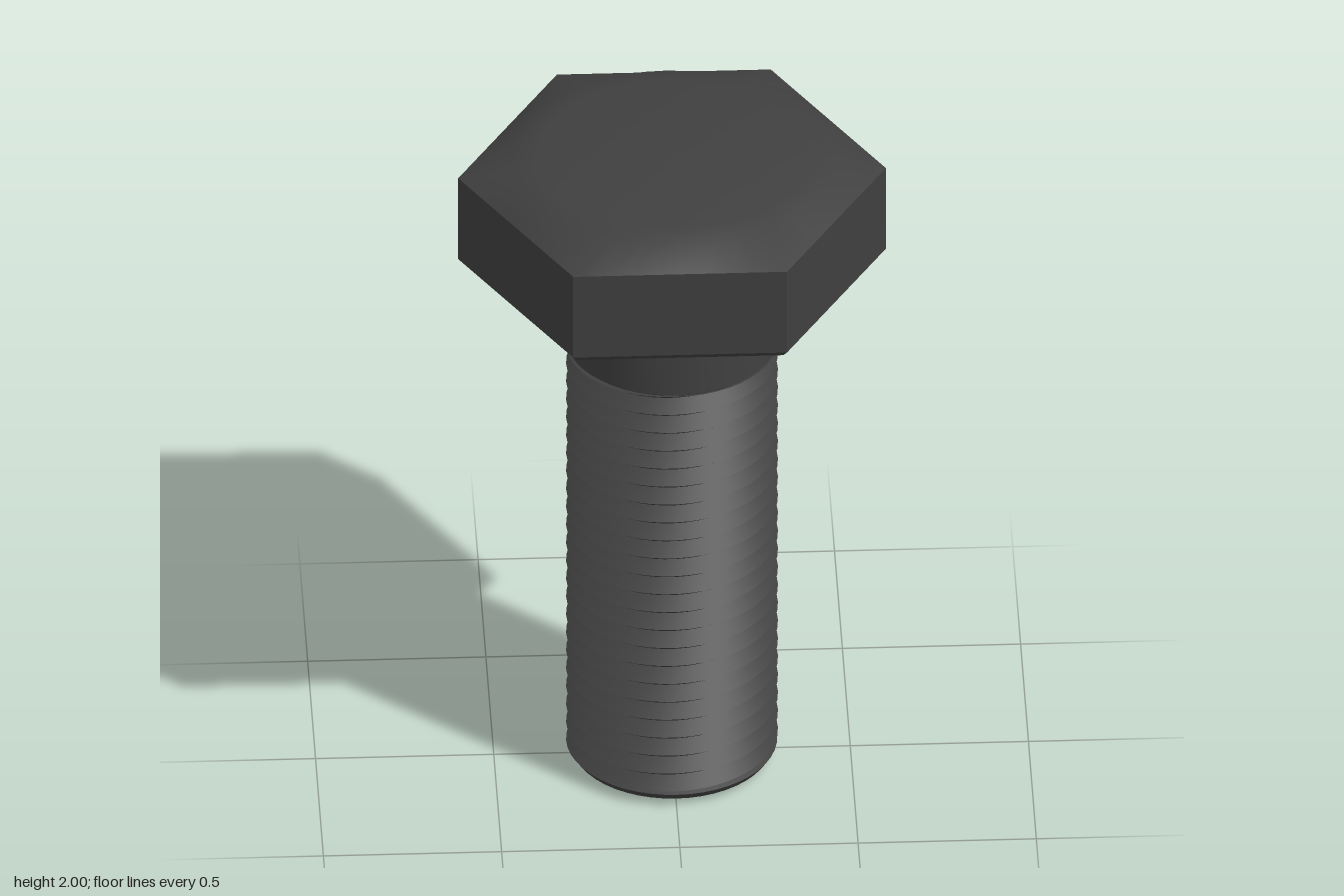
import * as THREE from 'three';
import { toCreasedNormals } from 'three/addons/utils/BufferGeometryUtils.js';

const SIDES = 48;
const steel = new THREE.MeshStandardMaterial({ color: 0x404040, side: THREE.DoubleSide });

// Grid surface: point(row, col) gives [x, y, z]; rows run upward, columns from +x towards +z
function surface(rows, cols, point) {
  const positions = [], index = [];
  for (let r = 0; r <= rows; r++)
    for (let c = 0; c <= cols; c++) positions.push(...point(r, c));
  for (let r = 0; r < rows; r++)
    for (let c = 0; c < cols; c++) {
      const a = r * (cols + 1) + c, b = a + cols + 1;
      index.push(a, b, a + 1, b, b + 1, a + 1);
    }
  const geometry = new THREE.BufferGeometry();
  geometry.setAttribute('position', new THREE.Float32BufferAttribute(positions, 3));
  geometry.setIndex(index);
  geometry.computeVertexNormals();
  return geometry;
}

function addPart(group, name, geometry) {
  const mesh = new THREE.Mesh(geometry, steel);
  mesh.name = name;
  group.add(mesh);
}

function lathe(profile) {
  const points = profile.map(([r, y]) => new THREE.Vector2(r, y));
  return toCreasedNormals(new THREE.LatheGeometry(points, SIDES), 0.5);
}

// Hexagonal head: hexagon rings below, blending to round rings on the domed top
function headGeometry() {
  // [corner radius, y, is hexagon]
  const rings = [
    [0.28, 1.64, false], [0.58, 1.64, true], [0.6, 1.66, true], [0.6, 1.93, true],
    [0.45, 1.98, false], [0.38, 1.995, false], [0, 2, false],
  ];
  const geometry = surface(rings.length - 1, SIDES, (row, col) => {
    const [radius, y, hex] = rings[row];
    const angle = (col / SIDES) * Math.PI * 2;
    const fromFlat = (angle % (Math.PI / 3)) - Math.PI / 6;
    const r = hex ? radius * Math.cos(Math.PI / 6) / Math.cos(fromFlat) : radius;
    return [r * Math.cos(angle), y, r * Math.sin(angle)];
  });
  return toCreasedNormals(geometry, 0.6);
}

// One flank of the right-handed helical thread, clamped flat at both ends
function flankGeometry(fromRadius, toRadius, offset) {
  const pitch = 0.06, bottom = 0.04, top = 1.375;
  const steps = Math.ceil((top - bottom) / pitch + 2) * SIDES;
  return surface(1, steps, (row, col) => {
    // Walking backwards in angle makes the helix climb to the right
    const angle = -(steps - col) / SIDES * Math.PI * 2;
    const climb = (steps - col) / SIDES * pitch;
    const y = bottom - pitch + climb + offset + row * pitch / 2;
    const r = row ? toRadius : fromRadius;
    return [r * Math.cos(angle), THREE.MathUtils.clamp(y, bottom, top), r * Math.sin(angle)];
  });
}

export function createModel() {
  const bolt = new THREE.Group();
  bolt.name = 'hexBolt';

  addPart(bolt, 'head', headGeometry());

  // Plain shank with a flared collar under the head
  addPart(bolt, 'shank', lathe([
    [0.24, 1.37], [0.285, 1.37], [0.297, 1.38], [0.297, 1.58], [0.315, 1.597], [0.37, 1.642],
  ]));

  // Thread flanks
  const root = 0.255, crest = 0.297;
  const thread = new THREE.Group();
  thread.name = 'thread';
  addPart(thread, 'lowerFlank', flankGeometry(root, crest, 0));
  addPart(thread, 'upperFlank', flankGeometry(crest, root, 0.03));
  bolt.add(thread);

  // Chamfered end
  addPart(bolt, 'tip', lathe([
    [0, 0], [0.15, 0.005], [0.262, 0.011], [0.28, 0.02], [0.295, 0.042], [0.255, 0.062],
  ]));

  return bolt;
}
